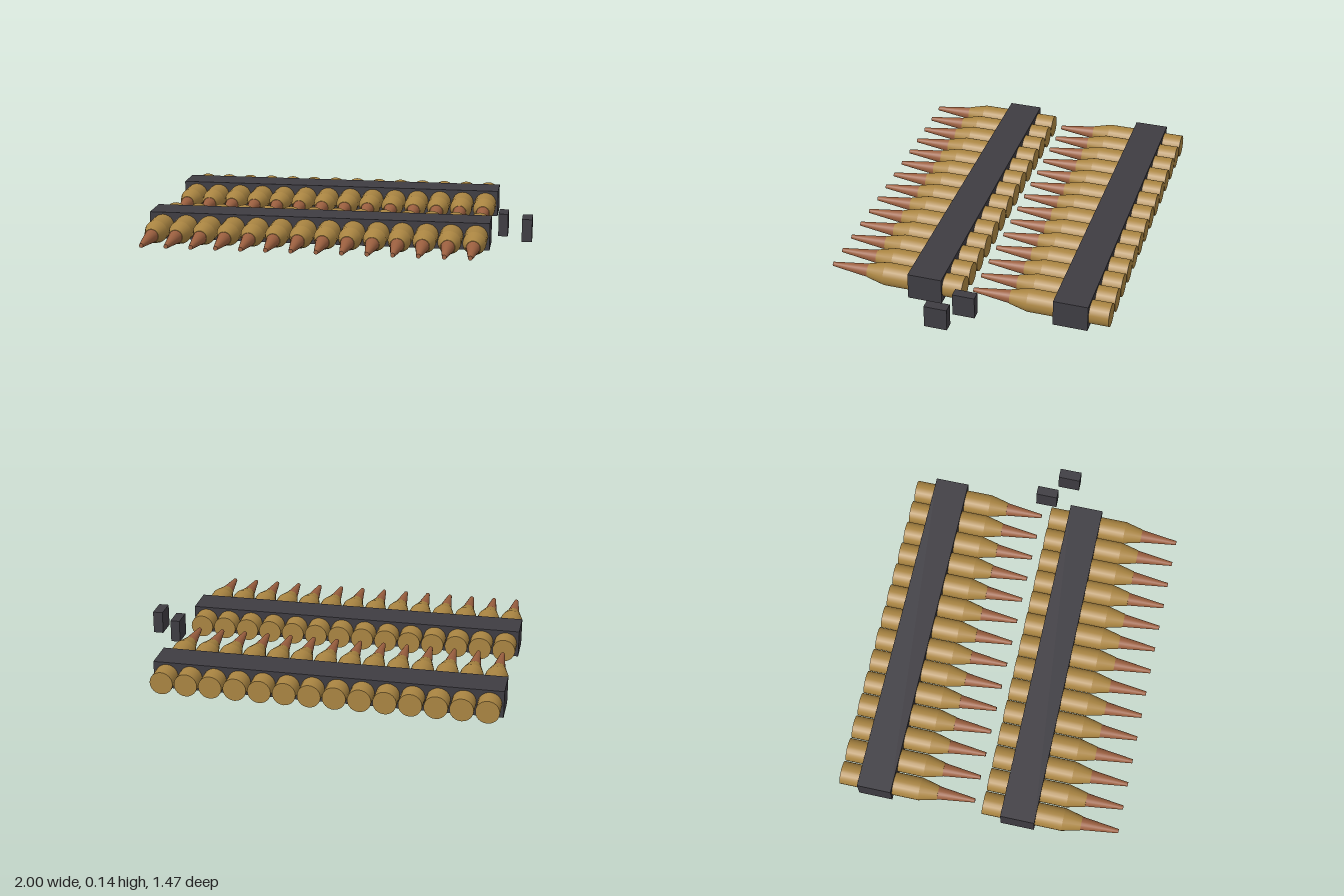
import * as THREE from 'three';

const brass = new THREE.MeshStandardMaterial({ color: 0xaa8542 });
brass.name = 'brass';
const copper = new THREE.MeshStandardMaterial({ color: 0x9c6040 });
copper.name = 'copper';
const darkMetal = new THREE.MeshStandardMaterial({ color: 0x3e3c42 });
darkMetal.name = 'darkMetal';

const SIDES = 24;
const AXIS_Y = 0.071;

// Round section along z, from z0 (radius r0) to z1 (radius r1)
function section(r0, r1, z0, z1, open) {
  const g = new THREE.CylinderGeometry(r1, r0, z1 - z0, SIDES, 1, open);
  g.rotateX(Math.PI / 2);
  g.translate(0, 0, (z0 + z1) / 2);
  return g;
}

// Box given by its limits
function box(name, x0, x1, y0, y1, z0, z1) {
  const mesh = new THREE.Mesh(new THREE.BoxGeometry(x1 - x0, y1 - y0, z1 - z0), darkMetal);
  mesh.position.set((x0 + x1) / 2, (y0 + y1) / 2, (z0 + z1) / 2);
  mesh.name = name;
  return mesh;
}

const parts = [
  ['case', section(0.06, 0.06, 0, 0.42, false), brass],
  ['shoulder', section(0.06, 0.037, 0.42, 0.515, false), brass],
  ['tip', section(0.035, 0.011, 0.515, 0.71, false), copper],
];

function cartridge() {
  const group = new THREE.Group();
  group.name = 'cartridge';
  for (const [name, geometry, material] of parts) {
    const mesh = new THREE.Mesh(geometry, material);
    mesh.name = name;
    group.add(mesh);
  }
  return group;
}

// Row of cartridges held by one bar
function row(name, z) {
  const group = new THREE.Group();
  group.name = name;
  for (let i = 0; i < 14; i++) {
    const c = cartridge();
    c.position.set(-0.93 + i * 0.127, AXIS_Y, 0);
    group.add(c);
  }
  group.add(box('holderBar', -1, 0.79, 0, 0.142, 0.102, 0.28));
  group.position.z = z;
  return group;
}

export function createModel() {
  const model = new THREE.Group();
  model.name = 'cartridgeBelts';
  model.add(row('frontRow', 0.023), row('rearRow', -0.734));
  // Loose links beside the belts
  model.add(box('innerLink', 0.82, 0.87, 0.011, 0.131, -0.075, 0.04));
  model.add(box('outerLink', 0.947, 1, 0.011, 0.131, 0.025, 0.143));
  return model;
}
